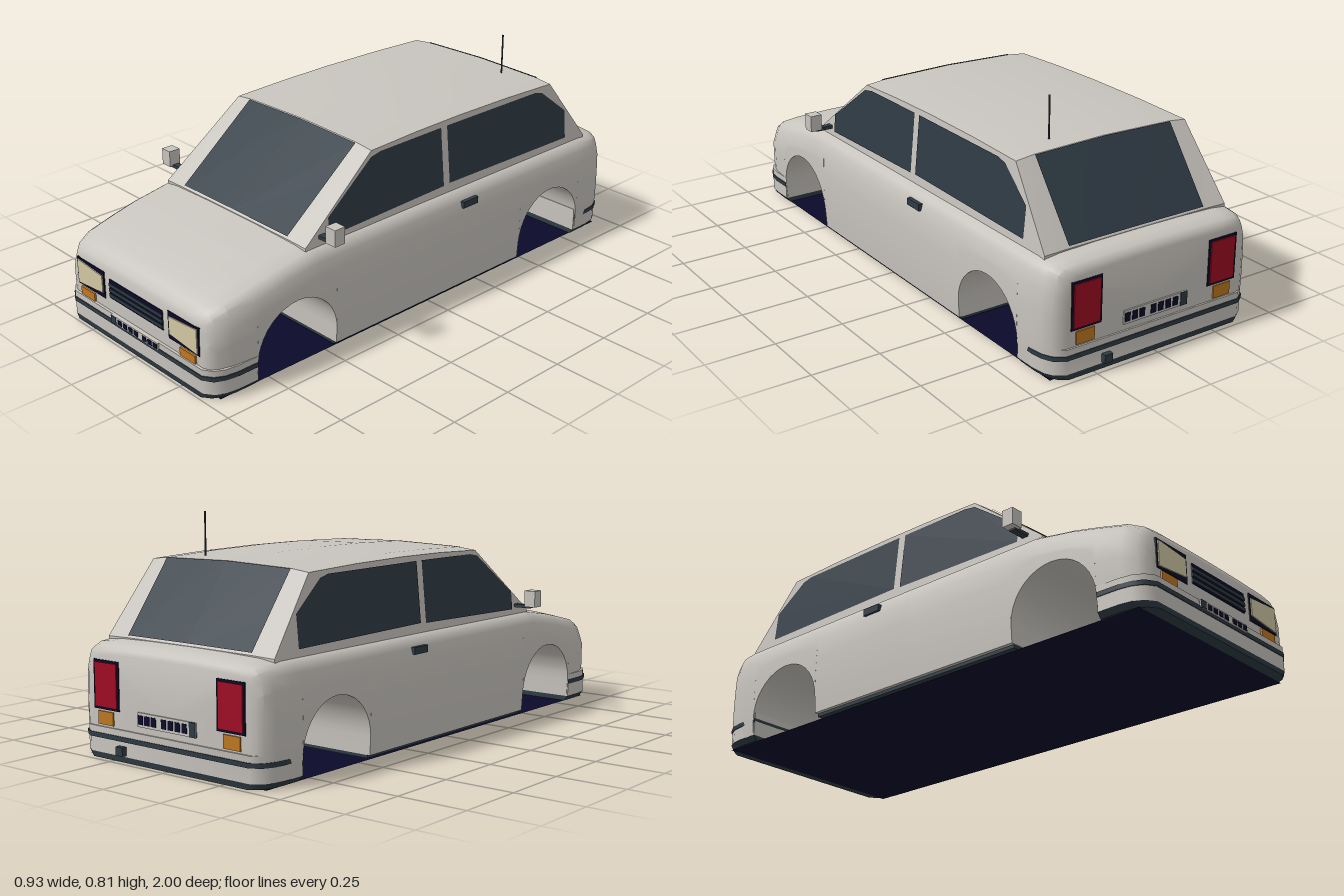
import * as THREE from 'three';
import { toCreasedNormals } from 'three/addons/utils/BufferGeometryUtils.js';

const mat = (name, color, double) => {
  const m = new THREE.MeshStandardMaterial({ color });
  m.name = name;
  if (double) m.side = THREE.DoubleSide;
  return m;
};
const lerp = THREE.MathUtils.lerp;

// Loft closed rings (counterclockwise seen from the front, running front to back) with capped ends
function loft(rings, crease) {
  const pos = [], idx = [], n = rings[0].length, last = rings.length - 1;
  rings.forEach(r => r.forEach(p => pos.push(...p)));
  for (let i = 0; i < last; i++) for (let j = 0; j < n; j++) {
    const a = i * n + j, b = i * n + (j + 1) % n, c = a + n, d = b + n;
    idx.push(a, c, b, b, c, d);
  }
  [0, last].forEach(i => {
    const mid = pos.length / 3, ys = rings[i].map(p => p[1]);
    pos.push(0, (Math.min(...ys) + Math.max(...ys)) / 2, rings[i][0][2]);
    for (let j = 0; j < n; j++) {
      const a = i * n + j, b = i * n + (j + 1) % n;
      if (i === 0) idx.push(mid, a, b); else idx.push(mid, b, a);
    }
  });
  const g = new THREE.BufferGeometry();
  g.setAttribute('position', new THREE.Float32BufferAttribute(pos, 3));
  g.setIndex(idx);
  return toCreasedNormals(g, crease);
}
// Complete a half section (bottom to centre top) with its mirror image
const mirrored = half => [...half, ...half.slice(0, -1).reverse().map(([x, y, z]) => [-x, y, z])];

// Flat plan outline raised from y0 to y1, with the lower edge drawn in by taper
function slab(points, y0, y1, taper = 1) {
  const s = new THREE.Shape(points.map(([x, z]) => new THREE.Vector2(x, -z)));
  const g = new THREE.ExtrudeGeometry(s, { depth: y1 - y0, bevelEnabled: false });
  g.rotateX(-Math.PI / 2).translate(0, y0, 0);
  const p = g.attributes.position;
  for (let i = 0; i < p.count; i++) if (p.getY(i) < y0 + 1e-5) p.setX(i, p.getX(i) * taper);
  g.computeVertexNormals();
  return toCreasedNormals(g, 0.7);
}

// Body stations: z, half width, top height
const STATIONS = [
  [0.98, 0.355, 0.262], [0.972, 0.378, 0.283], [0.95, 0.396, 0.303], [0.9, 0.412, 0.325],
  [0.8, 0.42, 0.348], [0.7, 0.424, 0.37], [0.55, 0.425, 0.395], [0, 0.425, 0.396], [-0.85, 0.425, 0.396],
  [-0.92, 0.416, 0.393], [-0.955, 0.4, 0.385], [-0.97, 0.378, 0.372], [-0.976, 0.355, 0.355],
];
const ARCH_Z = [0.635, -0.635], ARCH_R = 0.17;

function bodyGeometry() {
  const zs = STATIONS.map(s => s[0]);
  ARCH_Z.forEach(c => {
    zs.push(c + ARCH_R + 1e-4, c - ARCH_R - 1e-4);
    for (let i = 0; i <= 18; i++) zs.push(c + ARCH_R * 0.9999 * Math.cos(Math.PI * i / 18));
  });
  zs.sort((a, b) => b - a);
  const rings = zs.map(z => {
    let k = 0;
    while (k < STATIONS.length - 2 && z < STATIONS[k + 1][0]) k++;
    const A = STATIONS[k], B = STATIONS[k + 1], f = (z - A[0]) / (B[0] - A[0]);
    const w = lerp(A[1], B[1], f), t = lerp(A[2], B[2], f);
    let b = 0.02;
    ARCH_Z.forEach(c => {
      const d = Math.abs(z - c);
      if (d < ARCH_R) b = 0.08 + Math.sqrt(ARCH_R * ARCH_R - d * d);
    });
    const side = y => w * (1 - 0.6 * (y - 0.18) ** 2);
    const half = [];
    for (let i = 0; i <= 4; i++) {
      const y = lerp(b, t - 0.09, i / 4);
      half.push([side(y), y, z]);
    }
    [[0.965, 0.05], [0.94, 0.027], [0.885, 0.012], [0.75, 0.005], [0.4, 0.001], [0, 0]]
      .forEach(([fx, dy]) => half.push([w * fx, t - dy, z]));
    return mirrored(half);
  });
  return loft(rings, 0.6);
}

// Cabin surface: height of the top at x for rise h, and the leaning side
const cabinTop = (x, h) => lerp(0.396 + 0.271 * h, 0.395 + 0.265 * h, Math.abs(x) / 0.28);
const cabinSide = y => 0.375 - 0.025 * (y - 0.393) / 0.259;

export function createModel() {
  const car = new THREE.Group();
  car.name = 'car';
  const paint = mat('warm grey paint', 0xc8c4be);
  const slate = mat('dark slate', 0x2f3b44, true);
  const navy = mat('navy black', 0x0a0a2a, true);
  const cream = mat('cream lens', 0xd2c9a3);
  const orange = mat('orange lens', 0xc07820);
  const red = mat('red lens', 0xa00c24);

  const add = (name, geo, m, parent = car) => {
    const mesh = new THREE.Mesh(geo, m);
    mesh.name = name;
    parent.add(mesh);
    return mesh;
  };
  const box = (name, m, x0, x1, y0, y1, z0, z1) => {
    const g = new THREE.BoxGeometry(Math.abs(x1 - x0), y1 - y0, z1 - z0);
    return add(name, g.translate((x0 + x1) / 2, (y0 + y1) / 2, (z0 + z1) / 2), m);
  };

  add('body', bodyGeometry(), paint);

  // Cabin
  const cabin = [[0.56, 0], [0.24, 0.96], [0.02, 0.99], [-0.2, 1], [-0.45, 0.99], [-0.69, 0.96], [-0.88, 0]];
  add('cabin', loft(cabin.map(([z, h]) => {
    const y = 0.393 + 0.259 * h;
    return mirrored([[0.377, 0.37, z], [cabinSide(y), y, z], [0.28, cabinTop(0.28, h), z], [0, cabinTop(0, h), z]]);
  }), 0.4), paint);

  // Front and rear screens
  [['windscreen', 0.56, 0.24, 1], ['rearWindow', -0.88, -0.69, -1]].forEach(([name, z0, z1, s]) => {
    const g = new THREE.PlaneGeometry(0.56, 1, 2, 1), p = g.attributes.position;
    for (let i = 0; i < p.count; i++) {
      const x = p.getX(i), h = lerp(0.02, 0.95, p.getY(i) + 0.5);
      p.setXYZ(i, s * x, cabinTop(x, h) + 0.003, lerp(z0, z1, h / 0.96) + s * 0.003);
    }
    g.computeVertexNormals();
    add(name, g, slate);
  });

  // Side windows
  const panes = {
    frontSideWindow: [[0.455, 0.403], [0.455, 0.47], [0.245, 0.622], [0.2, 0.63], [-0.095, 0.632], [-0.095, 0.415]],
    rearSideWindow: [[-0.125, 0.418], [-0.125, 0.632], [-0.6, 0.63], [-0.64, 0.62], [-0.768, 0.52], [-0.768, 0.41]],
  };
  for (const s of [1, -1]) for (const [name, pts] of Object.entries(panes)) {
    const g = new THREE.ShapeGeometry(new THREE.Shape(pts.map(p => new THREE.Vector2(-s * p[0], p[1]))));
    const p = g.attributes.position;
    for (let i = 0; i < p.count; i++) {
      const u = p.getX(i), y = p.getY(i);
      p.setXYZ(i, s * (cabinSide(y) + 0.003), y, -s * u);
    }
    g.computeVertexNormals();
    add(name, g, slate);
  }

  // Bumpers with rubbing strip and dark lower lip
  const outline = e => {
    const half = [[0.418 + e, 0.808], [0.418 + e, 0.89], [0.411 + e, 0.935], [0.393 + e, 0.968 + e], [0.36, 0.99 + e]];
    return [...half, ...half.slice().reverse().map(([x, z]) => [-x, z])];
  };
  for (const s of [1, -1]) {
    const bumper = new THREE.Group();
    bumper.name = s > 0 ? 'frontBumper' : 'rearBumper';
    add('bumperShell', slab(outline(0), 0.02, 0.108), paint, bumper);
    add('bumperStrip', slab(outline(0.003), 0.07, 0.086), slate, bumper);
    add('bumperLip', slab(outline(0), 0.001, 0.02, 0.965), slate, bumper);
    if (s < 0) { bumper.rotation.y = Math.PI; bumper.position.z = 0.008; }
    car.add(bumper);
  }

  // Floor and sill edge
  add('floor', new THREE.PlaneGeometry(0.8, 1.9).rotateX(Math.PI / 2), navy);
  box('sillEdge', slate, -0.405, 0.405, 0.008, 0.02, -0.462, 0.462);

  // Grille
  box('grillePanel', navy, -0.15, 0.15, 0.16, 0.232, 0.97, 0.983);
  for (const y of [0.172, 0.192, 0.212]) box('grilleSlat', slate, -0.15, 0.15, y - 0.006, y + 0.006, 0.975, 0.986);

  // Paired lights, mirrors and door handles
  for (const s of [1, -1]) {
    box('headlightFrame', navy, s * 0.18, s * 0.342, 0.145, 0.247, 0.965, 0.983);
    const lens = [[0.188, 0.165], [0.335, 0.151], [0.335, 0.241], [0.188, 0.229]];
    const g = new THREE.ExtrudeGeometry(new THREE.Shape(lens.map(([x, y]) => new THREE.Vector2(s * x, y))),
      { depth: 0.008, bevelEnabled: false });
    add('headlightLens', g.translate(0, 0, 0.979), cream);
    box('frontIndicator', orange, s * 0.242, s * 0.322, 0.11, 0.139, 0.975, 0.987);
    box('tailLightFrame', navy, s * 0.222, s * 0.342, 0.166, 0.332, -0.979, -0.965);
    box('tailLightLens', red, s * 0.23, s * 0.334, 0.174, 0.324, -0.983, -0.972);
    box('rearIndicator', orange, s * 0.25, s * 0.322, 0.115, 0.16, -0.981, -0.972);
    box('mirrorArm', slate, s * 0.36, s * 0.44, 0.409, 0.421, 0.475, 0.5);
    box('mirror', paint, s * 0.422, s * 0.467, 0.415, 0.476, 0.468, 0.513);
    box('doorHandle', slate, s * 0.41, s * 0.425, 0.325, 0.35, -0.225, -0.15);
  }

  // Number plates: blank panels with a row of plain marks
  const marks = [-0.082, -0.051, -0.02, 0.011, 0.058, 0.088, 0.118];
  const plate = (y0, y1, z, s) => {
    const layer = d => [z + s * d, z - s * 0.004].sort((a, b) => a - b);
    box('plate', paint, -0.132, 0.132, y0, y1, ...layer(0.005));
    box('plateEnd', slate, -0.132, -0.104, y0, y1, ...layer(0.007));
    const c = (y0 + y1) / 2, h = (y1 - y0) * 0.32;
    marks.forEach(x => box('plateMark', navy, x - 0.011, x + 0.011, c - h, c + h, ...layer(0.007)));
  };
  plate(0.08, 0.108, 0.991, 1);
  plate(0.13, 0.178, -0.976, -1);

  // Exhaust and aerial
  box('exhaust', slate, 0.188, 0.22, 0.025, 0.055, -1, -0.96);
  add('aerial', new THREE.CylinderGeometry(0.003, 0.003, 0.15, 8).translate(0.17, 0.732, -0.62), slate);

  return car;
}
